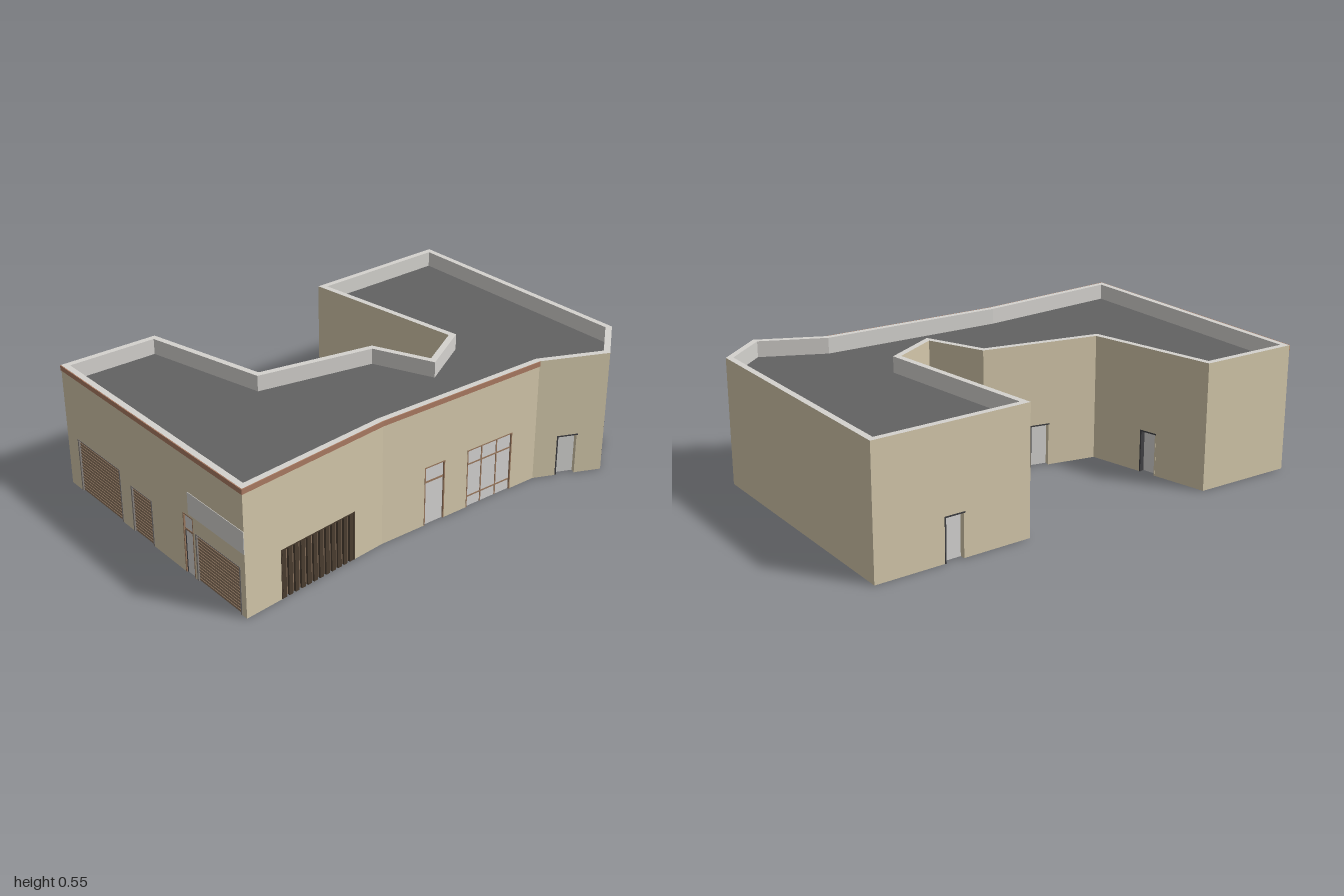
import * as THREE from 'three';

const H = 0.547, T = 0.027, ROOF = 0.478;
const mat = (name, color, side = THREE.FrontSide) => {
  const m = new THREE.MeshStandardMaterial({ color, side });
  m.name = name;
  return m;
};

// Plan corners [x, z], walked so that each wall runs left to right seen from outside
const plan = [
  [-0.663, 0.996], [0.591, 0.996], [0.522, 0.3], [0.535, -0.52], [0.662, -0.8], [0.491, -1],
  [-0.663, -0.992], [-0.643, -0.303], [0.115, -0.405], [0.235, -0.198], [-0.01, -0.09], [-0.105, 0.42], [-0.663, 0.553],
].map(([x, z]) => new THREE.Vector2(x, z));

// Openings per wall: kind, start and end along the given world axis, height
const openings = {
  0: ['x', [['shutter', -0.582, -0.255, 0.242], ['shutter', -0.178, -0.025, 0.207],
    ['glassDoor', 0.195, 0.262, 0.265], ['shutter', 0.273, 0.562, 0.207]]],
  1: ['y', [['grille', 0.825, 0.45, 0.215]]],
  2: ['y', [['glassDoor', 0.085, -0.02, 0.265], ['window', -0.14, -0.385, 0.265]]],
  3: ['y', [['door', -0.61, -0.695, 0.187]]],
  4: ['y', [['door', -0.86, -0.93, 0.187]]],
  6: ['y', [['door', -0.69, -0.6, 0.187]]],
  7: ['x', [['door', -0.4, -0.32, 0.187]]],
  8: ['y', [['door', -0.335, -0.295, 0.187]]],
  10: ['y', [['door', 0.12, 0.21, 0.187]]],
  11: ['x', [['door', -0.345, -0.425, 0.187]]],
};

export function createModel() {
  const M = {
    wall: mat('beige wall', 0xd3c7aa, THREE.DoubleSide),
    lining: mat('light grey lining', 0xd4d2ce, THREE.DoubleSide),
    roof: mat('dark grey roof', 0x626262),
    trim: mat('terracotta trim', 0xaa7a62),
    shutter: mat('brown shutter', 0x87705b),
    frame: mat('grey frame', 0x88827e),
    dark: mat('charcoal frame', 0x3f3f42),
    bar: mat('dark brown bar', 0x4a3d30),
    brown: mat('brown mullion', 0x9a795f),
    glass: mat('pale pane', 0xd3d2d0),
  };
  const model = new THREE.Group();
  model.name = 'building';

  const add = (parent, name, geo, material) => {
    const mesh = new THREE.Mesh(geo, material);
    mesh.name = name;
    parent.add(mesh);
    return mesh;
  };
  // Box given by its min and max corners
  const box = (parent, name, material, x0, x1, y0, y1, z0, z1) =>
    add(parent, name, new THREE.BoxGeometry(x1 - x0, y1 - y0, z1 - z0), material)
      .position.set((x0 + x1) / 2, (y0 + y1) / 2, (z0 + z1) / 2);

  // Inner outline, offset by the wall thickness with mitred corners
  const n = plan.length;
  const dir = plan.map((p, i) => plan[(i + 1) % n].clone().sub(p).normalize());
  const out = dir.map((d) => new THREE.Vector2(-d.y, d.x));
  const inner = plan.map((p, i) => {
    const a = out[(i + n - 1) % n], b = out[i];
    return p.clone().addScaledVector(a.clone().add(b), -T / (1 + a.dot(b)));
  });

  // Wall elevation with notches for the openings
  const elevation = (u0, u1, holes) => {
    const pts = [[u0, 0]];
    for (const { a, b, h } of holes) pts.push([a, 0], [a, h], [b, h], [b, 0]);
    pts.push([u1, 0], [u1, H], [u0, H]);
    return new THREE.ShapeGeometry(new THREE.Shape(pts.map(([x, y]) => new THREE.Vector2(x, y))));
  };

  // Jambs and head around an opening
  const surround = (g, { a, b, h }, w, z0, z1, material, rightMaterial = material, headWidth = w) => {
    box(g, 'leftJamb', material, a, a + w, 0, h, z0, z1);
    box(g, 'rightJamb', rightMaterial, b - w, b, 0, h - headWidth, z0, z1);
    box(g, 'head', material, a + w, b, h - headWidth, h, z0, z1);
  };

  const build = {
    shutter(g, o) {
      surround(g, o, 0.008, -0.012, 0.001, M.frame, M.frame, 0.003);
      box(g, 'shutterPanel', M.shutter, o.a, o.b, 0, o.h, -0.014, -0.008);
      const rows = Math.round(o.h / 0.014);
      for (let i = 0; i < rows; i++) {
        const y = (i + 0.15) * o.h / rows;
        box(g, 'shutterSlat', M.shutter, o.a + 0.008, o.b - 0.008, y, y + 0.009, -0.008, -0.005);
      }
    },
    grille(g, o) {
      box(g, 'grilleBacking', M.shutter, o.a, o.b, 0, o.h, -0.016, -0.01);
      surround(g, o, 0.005, -0.016, 0.001, M.bar);
      const count = 12, step = (o.b - o.a) / count;
      for (let i = 0; i < count; i++) {
        const u = o.a + (i + 0.2) * step;
        box(g, 'grilleBar', M.bar, u, u + step * 0.6, 0, o.h, -0.01, 0);
      }
    },
    door(g, o) {
      surround(g, o, 0.006, -T - 0.004, 0.001, M.dark, M.wall);
      box(g, 'doorLeaf', M.glass, o.a + 0.006, o.b - 0.006, 0, o.h - 0.006, -T, -0.022);
      box(g, 'doorBack', M.dark, o.a, o.b, 0, o.h, -T - 0.008, -T);
    },
    glassDoor(g, o) {
      surround(g, o, 0.005, -0.02, 0.001, M.brown);
      box(g, 'doorPane', M.glass, o.a, o.b, 0, o.h, -0.014, -0.006);
      box(g, 'transom', M.brown, o.a, o.b, 0.19, 0.198, -0.014, -0.004);
      box(g, 'doorEdge', M.dark, o.a + 0.005, o.a + 0.009, 0, 0.19, -0.014, -0.004);
    },
    window(g, o) {
      surround(g, o, 0.005, -0.02, 0.001, M.brown);
      box(g, 'windowPane', M.glass, o.a, o.b, 0, o.h, -0.014, -0.006);
      for (const f of [1 / 3, 2 / 3]) {
        const u = o.a + f * (o.b - o.a);
        box(g, 'mullion', M.brown, u - 0.003, u + 0.003, 0, o.h, -0.016, -0.004);
      }
      for (const y of [0.047, 0.196]) box(g, 'glazingBar', M.brown, o.a, o.b, y - 0.003, y + 0.003, -0.016, -0.004);
    },
  };

  // Walls: outer skin, inner lining and whatever fills the openings
  plan.forEach((p, i) => {
    const q = plan[(i + 1) % n], d = dir[i], len = p.distanceTo(q);
    const g = new THREE.Group();
    g.name = 'wall' + (i + 1);
    g.position.set(p.x, 0, p.y);
    g.rotation.y = Math.atan2(-d.y, d.x);
    model.add(g);

    const [axis, list] = openings[i] || ['x', []];
    const along = (v) => (v - p[axis]) / (q[axis] - p[axis]) * len;
    const holes = list.map(([kind, s, e, h]) => ({ kind, a: along(s), b: along(e), h }));
    const through = holes.filter((o) => o.kind === 'door');

    add(g, 'outerSkin', elevation(0, len, holes), M.wall);
    const u0 = inner[i].clone().sub(p).dot(d), u1 = inner[(i + 1) % n].clone().sub(p).dot(d);
    add(g, 'innerLining', elevation(u0, u1, through), M.lining).position.z = -T;

    for (const o of holes) {
      const part = new THREE.Group();
      part.name = o.kind;
      g.add(part);
      build[o.kind](part, o);
    }
    // Terracotta band on the street sides
    if (i < 3) box(g, 'corniceBand', M.trim, 0, len + (i === 0 ? 0.004 : 0), 0.525, H - 0.0005, -0.002, 0.004);
    // Blank sign board above the front entrance
    if (i === 0) box(g, 'signBoard', M.lining, along(0.235), len, 0.275, 0.37, 0, 0.002);
  });

  // Flat roof, ceiling and parapet coping
  const flat = (pts) => pts.map((v) => new THREE.Vector2(v.x, -v.y));
  const slab = (name, shape, material, y) => {
    const geo = new THREE.ShapeGeometry(shape).rotateX(-Math.PI / 2);
    add(model, name, geo, material).position.y = y;
  };
  const ring = new THREE.Shape(flat(plan));
  ring.holes.push(new THREE.Path(flat(inner)));
  slab('roof', new THREE.Shape(flat(inner)), M.roof, ROOF);
  slab('ceiling', new THREE.Shape(flat(inner)), M.lining, ROOF - 0.002);
  slab('parapetCoping', ring, M.lining, H);

  return model;
}
